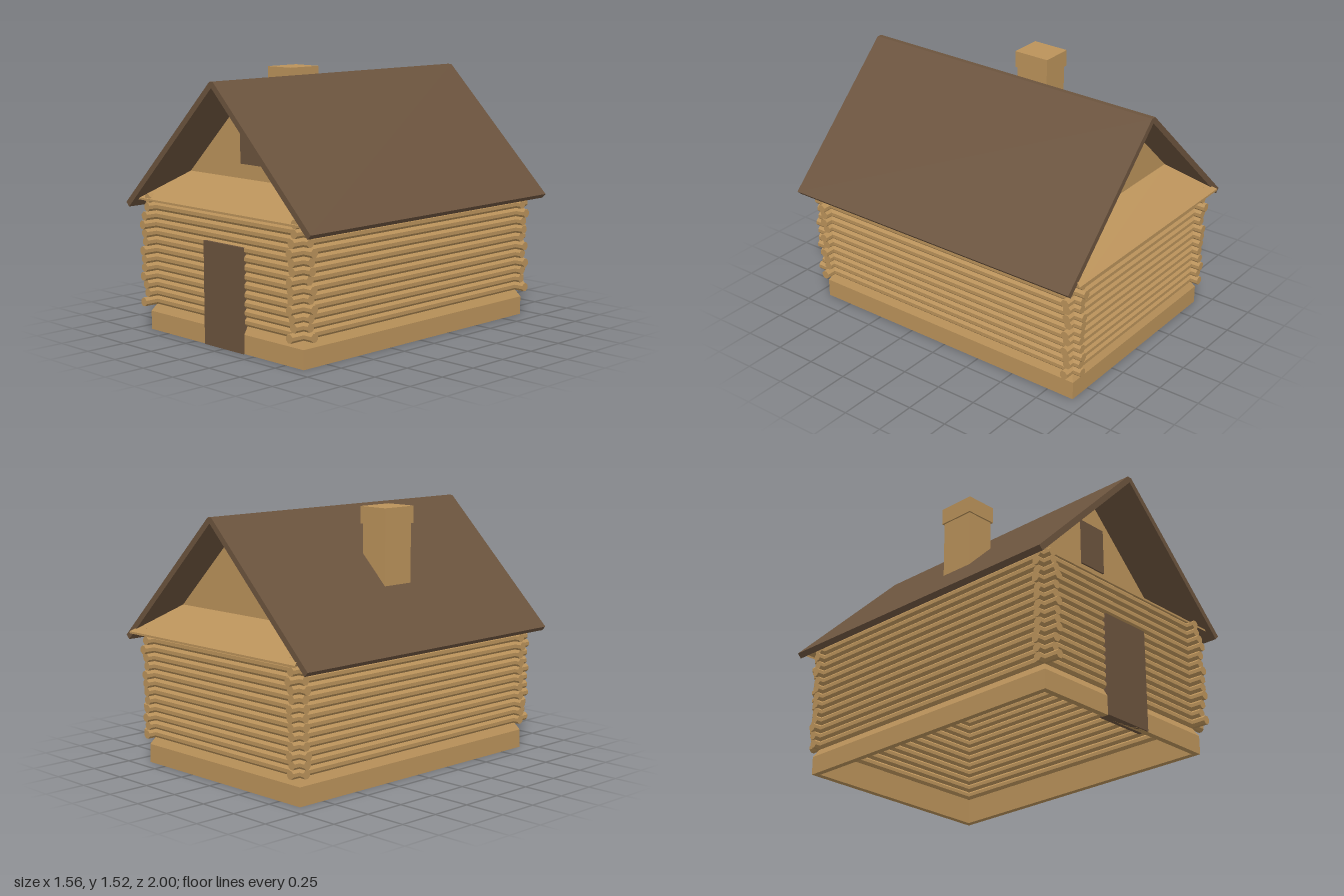
import * as THREE from 'three';

const wood = new THREE.MeshStandardMaterial({ color: 0xba925a, flatShading: true });
const woodThin = new THREE.MeshStandardMaterial({ color: 0xba925a, flatShading: true, side: THREE.DoubleSide });
const dark = new THREE.MeshStandardMaterial({ color: 0x6b533d, flatShading: true });

function add(parent, name, geometry, material) {
  const mesh = new THREE.Mesh(geometry, material);
  mesh.name = name;
  parent.add(mesh);
  return mesh;
}

// Box given by its lower and upper corners
function box(parent, name, [x0, y0, z0], [x1, y1, z1], material) {
  const mesh = add(parent, name, new THREE.BoxGeometry(x1 - x0, y1 - y0, z1 - z0), material);
  mesh.position.set((x0 + x1) / 2, (y0 + y1) / 2, (z0 + z1) / 2);
}

// Quads, each given by four corners in counter-clockwise order
function quads(list) {
  const pos = [];
  for (const [a, b, c, d] of list) pos.push(...a, ...b, ...c, ...a, ...c, ...d);
  const g = new THREE.BufferGeometry();
  g.setAttribute('position', new THREE.Float32BufferAttribute(pos, 3));
  g.computeVertexNormals();
  return g;
}

// Hollow base with a chamfered top edge: a profile swept round a rectangle
function foundationGeometry() {
  const profile = [[0, 0], [0, 0.11], [0.025, 0.155], [0.035, 0.155], [0.035, 0], [0, 0]];
  const corners = [[1, 1], [1, -1], [-1, -1], [-1, 1]];
  const at = ([sx, sz], [inset, y]) => [-0.01 + sx * (0.65 - inset), y, sz * (0.922 - inset)];
  const list = [];
  corners.forEach((c, i) => {
    const n = corners[(i + 1) % 4];
    for (let j = 0; j < profile.length - 1; j++) {
      const p = profile[j], q = profile[j + 1];
      list.push([at(c, p), at(n, p), at(n, q), at(c, q)]);
    }
  });
  return quads(list);
}

// Log along x or z between two ends
function log(parent, axis, from, to, across, y) {
  const g = new THREE.CylinderGeometry(0.0265, 0.0265, to - from, 8);
  g.rotateY(Math.PI / 8);
  if (axis === 'x') g.rotateZ(Math.PI / 2);
  else g.rotateX(Math.PI / 2);
  const mesh = add(parent, 'log', g, wood);
  const mid = (from + to) / 2;
  if (axis === 'x') mesh.position.set(mid, y, across);
  else mesh.position.set(across, y, mid);
}

// Recessed gable: sloping lower apron with a thin lip, and an upright triangle
function gable(parent, name, side, zLip, zWall) {
  const p = (x, y, z) => [x, y, z * side];
  const list = [
    [p(-0.715, 0.776, zLip), p(0.715, 0.776, zLip), p(0.71, 0.788, zLip), p(-0.71, 0.788, zLip)],
    [p(-0.71, 0.788, zLip), p(0.71, 0.788, zLip), p(0.56, 0.935, zWall), p(-0.56, 0.935, zWall)],
    [p(-0.56, 0.935, zWall), p(0.56, 0.935, zWall), p(0.01, 1.48, zWall), p(-0.01, 1.48, zWall)],
  ];
  if (side < 0) list.forEach((q) => q.reverse());
  add(parent, name, quads(list), woodThin);
}

export function createModel() {
  const cabin = new THREE.Group();
  cabin.name = 'logCabin';

  add(cabin, 'foundation', foundationGeometry(), wood);

  // Log walls with uneven ends, bottom row first
  const xEnds = [[-0.685, 0.695], [-0.69, 0.665], [-0.7, 0.67], [-0.685, 0.695], [-0.68, 0.67], [-0.685, 0.69],
    [-0.68, 0.66], [-0.685, 0.68], [-0.68, 0.675], [-0.695, 0.695], [-0.68, 0.665], [-0.69, 0.67], [-0.68, 0.67]];
  const zEnds = [[-0.965, 1], [-0.955, 0.97], [-0.97, 0.98], [-0.96, 1], [-0.955, 0.99], [-0.96, 0.99],
    [-0.965, 1], [-0.97, 0.98], [-0.955, 0.985], [-0.96, 1], [-0.98, 0.985], [-0.96, 0.965], [-0.955, 0.96]];
  const wall = (name, axis, ends, across) => {
    const group = new THREE.Group();
    group.name = name;
    ends.forEach(([a, b], i) => log(group, axis, a, b, across, 0.18 + i * 0.0508));
    cabin.add(group);
  };
  wall('frontWall', 'x', xEnds, 0.893);
  wall('backWall', 'x', xEnds, -0.895);
  wall('leftWall', 'z', zEnds, 0.612);
  wall('rightWall', 'z', zEnds, -0.63);

  box(cabin, 'door', [-0.165, 0, 0.865], [0.165, 0.6, 0.93], dark);

  // Gables and attic window
  gable(cabin, 'frontGable', 1, 0.965, 0.7);
  gable(cabin, 'backGable', -1, 1, 0.73);
  box(cabin, 'atticWindow', [-0.095, 1.02, 0.68], [0.095, 1.3, 0.71], dark);

  // Roof: a bent slab with a flat ridge strip
  const half = [[0.015, 1.505], [0.778, 0.757], [0.753, 0.732]];
  const outline = [...half, [0, 1.472], ...half.map(([x, y]) => [-x, y]).reverse()];
  const roof = new THREE.ExtrudeGeometry(new THREE.Shape(outline.map(([x, y]) => new THREE.Vector2(x, y))),
    { depth: 1.973, bevelEnabled: false });
  roof.translate(0, 0, -0.973);
  add(cabin, 'roof', roof, dark);

  // Chimney
  box(cabin, 'chimneyShaft', [-0.45, 1.0, -0.06], [-0.273, 1.43, 0.152], wood);
  box(cabin, 'chimneyCap', [-0.46, 1.425, -0.07], [-0.263, 1.525, 0.162], wood);

  return cabin;
}
